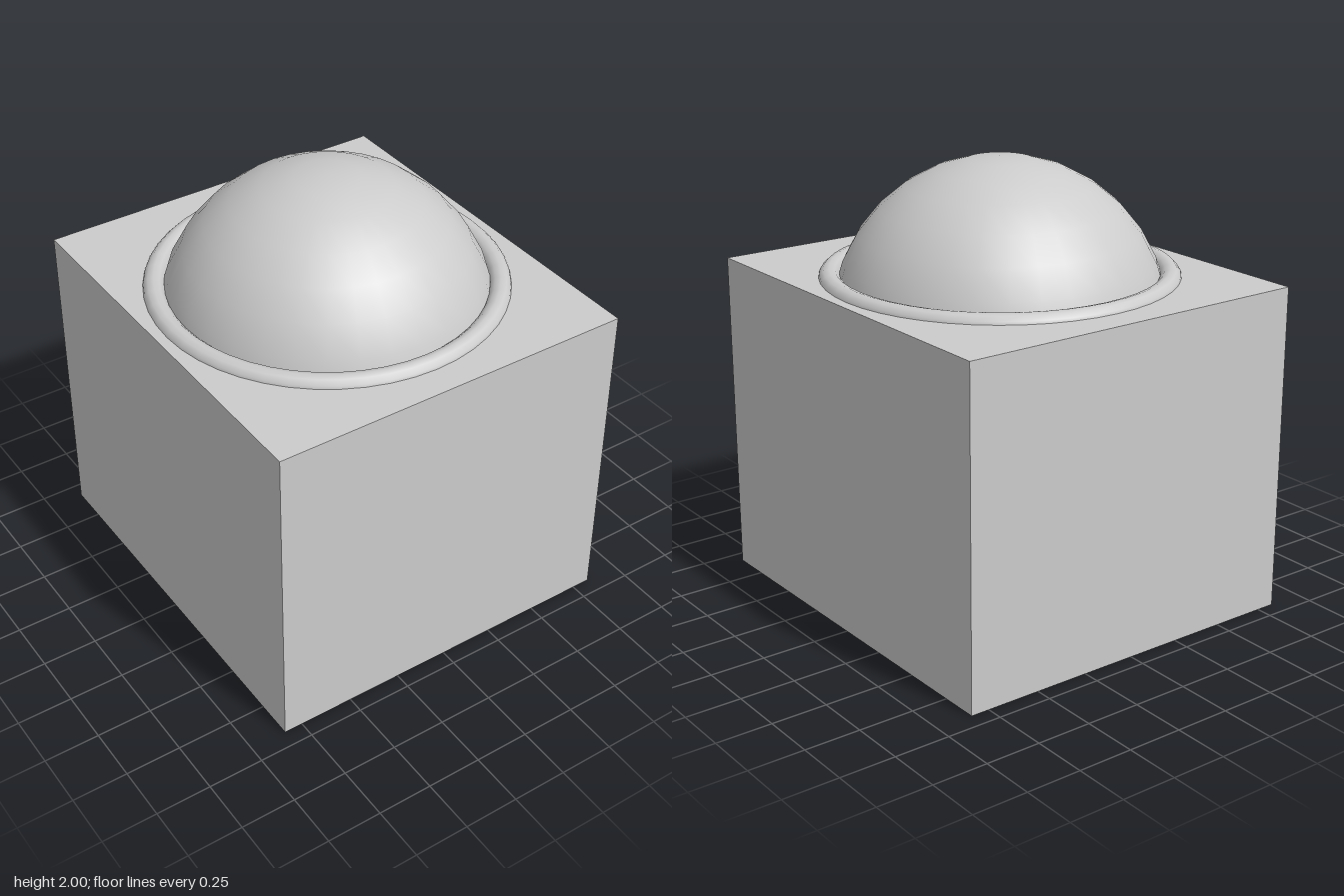
import * as THREE from 'three';

export function createModel() {
  const model = new THREE.Group();
  const material = new THREE.MeshStandardMaterial({ color: 0xcccccc });

  const add = (name, geometry, y) => {
    const mesh = new THREE.Mesh(geometry, material);
    mesh.name = name;
    mesh.position.y = y;
    model.add(mesh);
  };

  // Block standing on the ground
  const height = 1.485;
  add('base', new THREE.BoxGeometry(1.67, height, 1.85), height / 2);

  // Ball sunk into the block, so that only its cap shows
  const radius = 0.74;
  add('dome', new THREE.SphereGeometry(radius, 32, 16), 2 - radius);

  // Half-sunk trim ring around the dome
  add('ring', new THREE.TorusGeometry(0.742, 0.05, 12, 48).rotateX(-Math.PI / 2), 1.473);

  return model;
}
